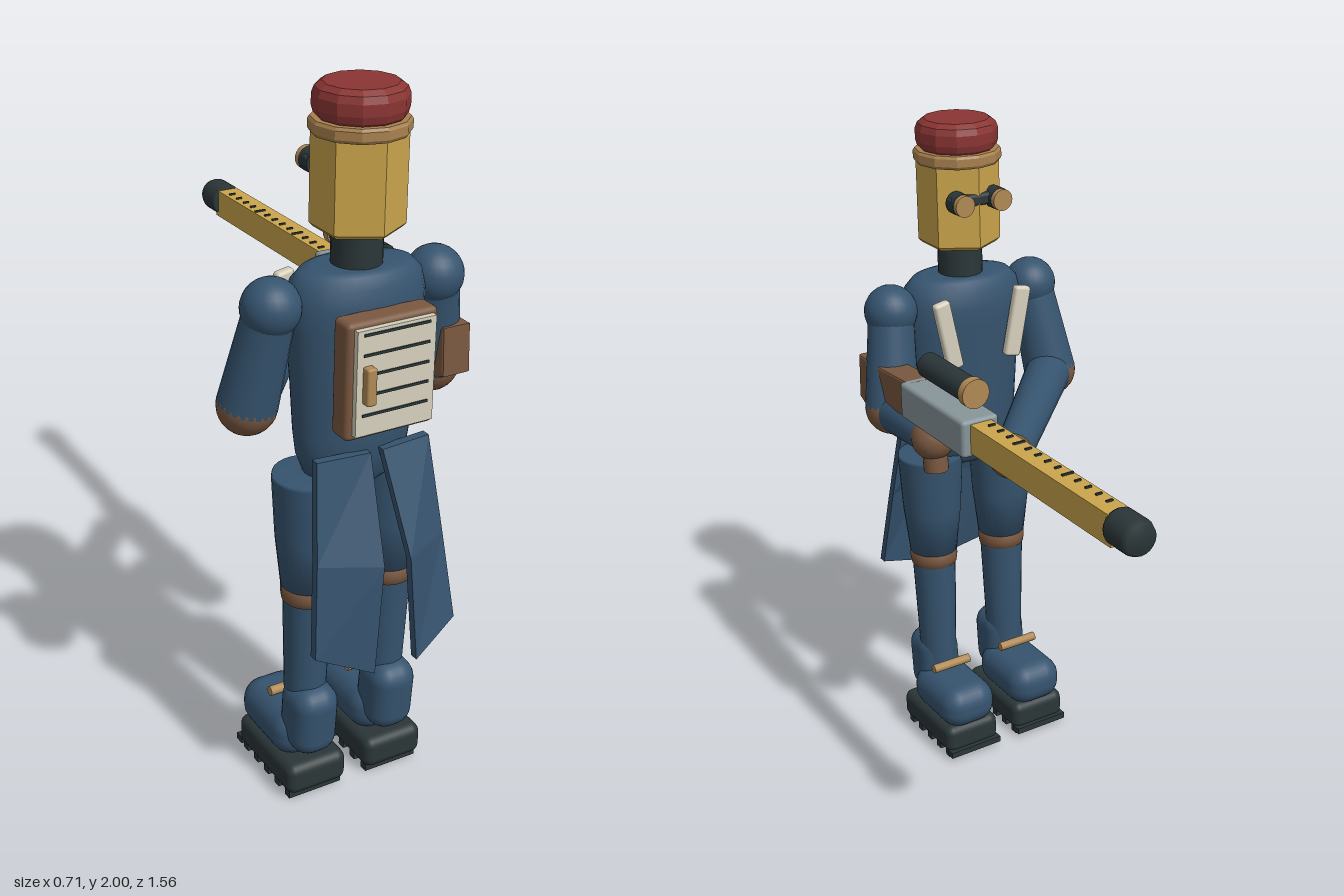
import * as THREE from 'three';
import { RoundedBoxGeometry } from 'three/addons/geometries/RoundedBoxGeometry.js';

const mat = (color, flatShading = false) => new THREE.MeshStandardMaterial({ color, flatShading });
const BLUE = mat(0x36546f), BLUE_FLAT = mat(0x36546f, true), BROWN = mat(0x7a5840), RED = mat(0x8a3533, true),
  YELLOW = mat(0xcba54c), YELLOW_FLAT = mat(0xcba54c, true), TAN = mat(0xb08a55), TAN_FLAT = mat(0xa9824f, true),
  DARK = mat(0x2b3638), GREY = mat(0x87959a), CREAM = mat(0xd6d0bc);
const BODY_Z = 0.53, GUN_X = 0.282;

export function createModel() {
  const root = new THREE.Group();
  root.name = 'pencilHeadedRifleman';

  const add = (name, geometry, material, x = 0, y = 0, z = 0) => {
    const mesh = new THREE.Mesh(geometry, material);
    mesh.name = name;
    mesh.position.set(x, y, z);
    root.add(mesh);
    return mesh;
  };
  const box = (name, m, w, h, d, x, y, z, r = 0) =>
    add(name, r ? new RoundedBoxGeometry(w, h, d, 3, r) : new THREE.BoxGeometry(w, h, d), m, x, y, z);
  const ball = (name, m, r, x, y, z) => add(name, new THREE.SphereGeometry(r, 24, 16), m, x, y, z);
  const lathe = (name, m, points, sides, x = 0, z = BODY_Z) =>
    add(name, new THREE.LatheGeometry(points.map(([r, y]) => new THREE.Vector2(r, y)), sides), m, x, 0, z);
  // Tapered tube from point a to point b
  const limb = (name, m, a, b, ra, rb, sides = 24) => {
    const A = new THREE.Vector3(...a), B = new THREE.Vector3(...b), dir = B.clone().sub(A);
    const mesh = add(name, new THREE.CylinderGeometry(rb, ra, dir.length(), sides), m);
    mesh.position.copy(A).add(B).multiplyScalar(0.5);
    mesh.quaternion.setFromUnitVectors(new THREE.Vector3(0, 1, 0), dir.normalize());
    return mesh;
  };

  // Head: six-sided prism, band and round cap
  lathe('head', YELLOW_FLAT, [[0, 1.635], [0.11, 1.635], [0.12, 1.645], [0.12, 1.9], [0, 1.9]], 6);
  lathe('headBand', TAN_FLAT, [[0.1, 1.877], [0.122, 1.877], [0.127, 1.885], [0.127, 1.907], [0.122, 1.915], [0.1, 1.915]], 12);
  lathe('cap', RED, [[0.1, 1.91], [0.114, 1.922], [0.119, 1.94], [0.119, 1.97], [0.112, 1.988], [0.095, 2], [0, 2]], 12);
  limb('neck', DARK, [0, 1.5, BODY_Z], [0, 1.65, BODY_Z], 0.066, 0.066);

  // Goggles
  box('goggleBridge', DARK, 0.19, 0.035, 0.03, 0, 1.785, 0.425, 0.01);
  for (const s of [-1, 1]) {
    limb('goggleRim', DARK, [s * 0.062, 1.782, 0.44], [s * 0.062, 1.782, 0.398], 0.032, 0.032);
    limb('goggleLens', TAN, [s * 0.062, 1.782, 0.4], [s * 0.062, 1.782, 0.382], 0.031, 0.031);
  }

  // Torso: flattened lathe
  lathe('torso', BLUE, [[0, 0.94], [0.09, 0.945], [0.135, 0.975], [0.16, 1.04], [0.168, 1.1], [0.178, 1.25],
    [0.192, 1.4], [0.193, 1.46], [0.182, 1.51], [0.155, 1.538], [0.12, 1.545], [0, 1.545]], 32, 0, 0).scale.z = 0.63;
  root.getObjectByName('torso').position.z = BODY_Z;

  // Slanted lapels on the chest
  for (const s of [-1, 1])
    box('lapel', CREAM, 0.052, 0.215, 0.03, s * 0.118, 1.4, 0.408, 0.01).rotation.z = -s * 0.2;

  // Notebook pack on the back
  box('packCover', BROWN, 0.262, 0.315, 0.072, 0, 1.305, 0.672, 0.015);
  box('packPage', CREAM, 0.226, 0.282, 0.02, 0, 1.307, 0.714);
  for (let i = 0; i < 5; i++) box('pageLine', DARK, 0.19, 0.007, 0.004, 0, 1.222 + i * 0.0535, 0.725);
  box('packClasp', TAN, 0.028, 0.1, 0.028, -0.083, 1.305, 0.736, 0.006);

  // Coat tails: boxes bent by a rule, u runs from inner to outer edge
  const rows = [ // [inner xyz, outer xyz] from bottom to top
    [[0.065, 0.49, 0.765], [0.216, 0.55, 0.715]],
    [[0.04, 0.8, 0.755], [0.192, 0.8, 0.675]],
    [[0.018, 1.07, 0.64], [0.168, 1.07, 0.625]]];
  for (const s of [-1, 1]) {
    const geo = new THREE.BoxGeometry(1, 2, 1, 1, 2, 1), p = geo.attributes.position;
    for (let i = 0; i < p.count; i++) {
      const [inner, outer] = rows[Math.round(p.getY(i)) + 1];
      const u = s * p.getX(i) + 0.5;
      const v = new THREE.Vector3(...inner).lerp(new THREE.Vector3(...outer), u);
      p.setXYZ(i, s * v.x, v.y, v.z + p.getZ(i) * 0.025);
    }
    geo.computeVertexNormals();
    add('coatTail', geo, BLUE_FLAT);
  }

  // Arms: mirrored upper arms, then each forearm to its own grip
  for (const s of [-1, 1]) {
    const shoulder = [s * 0.24, 1.465, 0.525], elbow = [s * 0.277, 1.19, 0.472];
    const hand = s > 0 ? [GUN_X, 1.185, 0.22] : [0.18, 1.2, -0.035];
    ball('shoulder', BLUE, 0.078, ...shoulder);
    limb('upperArm', BLUE, shoulder, elbow, 0.066, 0.08);
    ball('elbowPatch', BROWN, 0.08, ...elbow);
    limb('forearm', BLUE, elbow, hand, 0.07, 0.052);
    ball('hand', BROWN, 0.063, ...hand);
  }

  // Legs and boots
  for (const s of [-1, 1]) {
    const x = s * 0.125;
    lathe('thigh', BLUE, [[0, 0.655], [0.074, 0.655], [0.09, 0.8], [0.1, 0.975], [0.098, 0.985], [0, 0.985]], 28, x);
    lathe('kneeBand', BROWN, [[0.06, 0.605], [0.071, 0.61], [0.074, 0.63], [0.074, 0.658], [0.06, 0.665]], 28, x);
    limb('shin', BLUE, [x, 0.25, 0.522], [x, 0.62, 0.53], 0.056, 0.068);
    const ankle = box('bootShaft', BLUE, 0.135, 0.215, 0.15, x, 0.237, 0.548, 0.055);
    ankle.rotation.x = 0.08;
    box('bootFoot', BLUE, 0.182, 0.14, 0.27, x, 0.166, 0.428, 0.062);
    box('bootSole', DARK, 0.186, 0.095, 0.305, x, 0.065, 0.457, 0.028);
    limb('bootLace', TAN, [x - 0.065, 0.265, 0.442], [x + 0.065, 0.265, 0.442], 0.014, 0.014, 12);
    for (let i = 0; i < 5; i++) box('tread', DARK, 0.165, 0.024, 0.025, x, 0.012, 0.335 + i * 0.06);
    box('toePlate', DARK, 0.18, 0.02, 0.03, x, 0.024, 0.308);
  }

  // Rifle: stock profile is drawn in the side plane and extruded across x
  const stock = new THREE.Shape([[0.28, 1.335], [0.45, 1.325], [0.575, 1.325], [0.582, 1.2], [0.555, 1.187],
    [0.45, 1.215], [0.28, 1.238]].map(([z, y]) => new THREE.Vector2(-z, y)));
  const stockGeo = new THREE.ExtrudeGeometry(stock, { depth: 0.07, bevelSize: 0.006, bevelThickness: 0.008, bevelSegments: 2 });
  add('stock', stockGeo, BROWN, GUN_X - 0.035).rotation.y = Math.PI / 2;
  box('receiver', GREY, 0.116, 0.108, 0.35, GUN_X, 1.287, 0.127, 0.012);
  limb('pistolGrip', BROWN, [GUN_X, 1.09, 0.208], [GUN_X, 1.25, 0.222], 0.036, 0.036);
  box('rulerBarrel', YELLOW, 0.066, 0.084, 0.68, GUN_X, 1.288, -0.36);
  for (let i = 0; i < 13; i++) {
    const w = i % 5 === 4 ? 0.035 : 0.019;
    box('rulerTick', DARK, w, 0.008, 0.006, GUN_X - 0.012, 1.331, -0.63 + i * 0.0455);
  }
  const muzzle = lathe('muzzle', DARK, [[0, -0.048], [0.046, -0.048], [0.05, -0.04], [0.05, 0.03], [0.043, 0.048], [0, 0.048]], 20, GUN_X, -0.732);
  muzzle.position.y = 1.293;
  muzzle.rotation.x = -Math.PI / 2;
  limb('scope', DARK, [GUN_X, 1.403, 0.23], [GUN_X, 1.403, -0.01], 0.037, 0.037);
  limb('scopeRing', TAN, [GUN_X, 1.403, 0], [GUN_X, 1.403, -0.026], 0.042, 0.042);

  return root;
}
